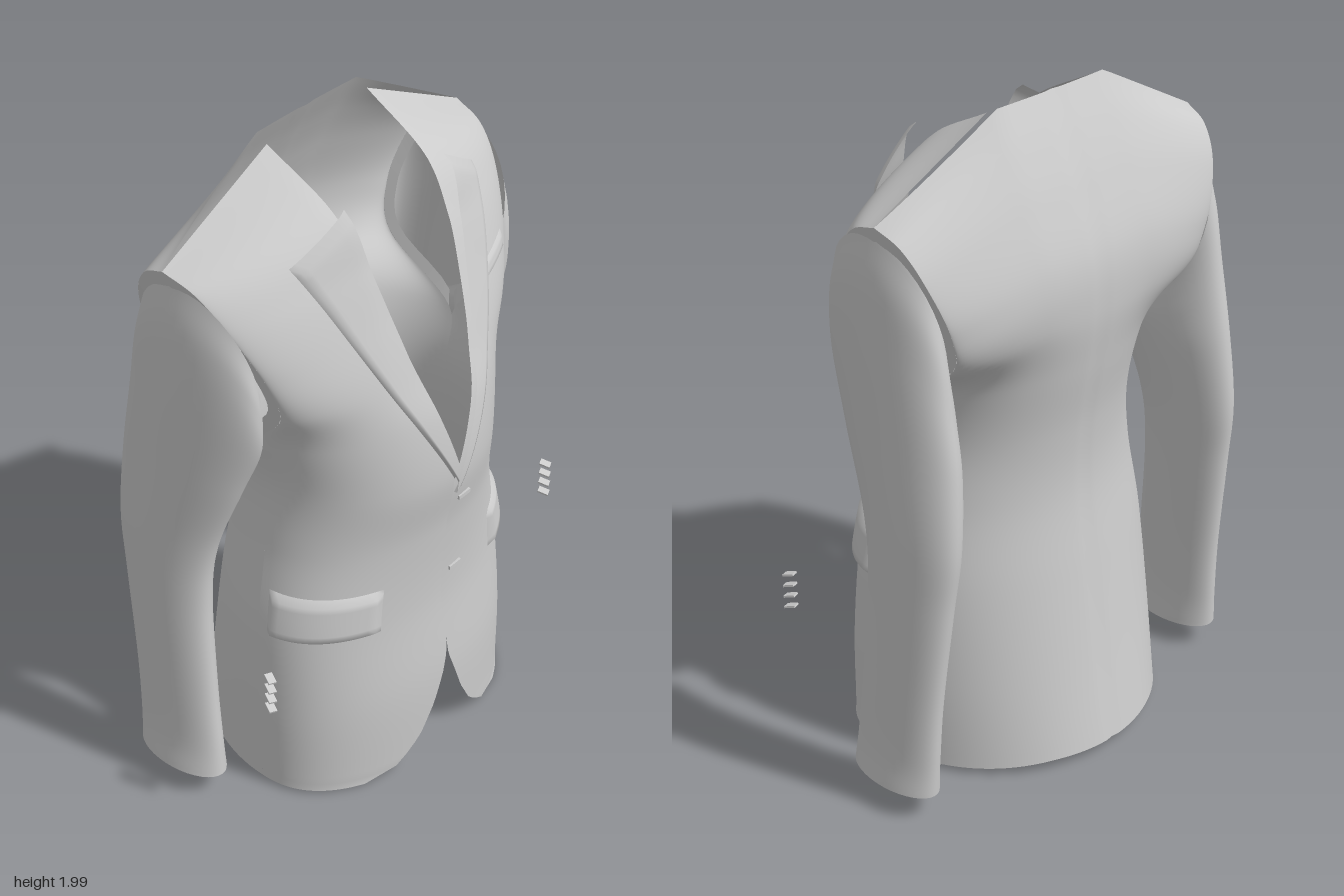
import * as THREE from 'three';

const material = new THREE.MeshStandardMaterial({ color: 0xcccccc, side: THREE.DoubleSide });
const { lerp, clamp } = THREE.MathUtils;
const HALF_PI = Math.PI / 2;

// Smooth interpolation through numbered cross-sections
function sections(rows) {
  const cubic = new THREE.CubicInterpolant(rows.map((_, i) => i), rows.flat(), rows[0].length);
  return r => Array.from(cubic.evaluate(r));
}

// Jacket sections from hem to shoulder:
// front y, front z, back y, back z, side y, side x, side z front, side z back, front curve, back curve
const TOP = 10, ARMPIT = 5;
const body = sections([
  [0.00, 0.385, 0.04, -0.415, 0.02, 0.480, 0.08, 0.08, 0.42, 0.50],
  [0.30, 0.390, 0.30, -0.365, 0.30, 0.478, 0.07, 0.07, 0.42, 0.50],
  [0.60, 0.370, 0.60, -0.315, 0.60, 0.458, 0.06, 0.06, 0.42, 0.50],
  [0.85, 0.380, 0.85, -0.280, 0.85, 0.410, 0.05, 0.05, 0.45, 0.50],
  [1.05, 0.405, 1.05, -0.285, 1.05, 0.392, 0.05, 0.05, 0.47, 0.50],
  [1.25, 0.385, 1.25, -0.315, 1.22, 0.425, 0.05, 0.03, 0.50, 0.50],
  [1.40, 0.335, 1.42, -0.335, 1.36, 0.455, 0.16, -0.22, 0.60, 0.60],
  [1.56, 0.280, 1.58, -0.325, 1.50, 0.500, 0.15, -0.27, 0.70, 0.70],
  [1.72, 0.215, 1.75, -0.265, 1.65, 0.555, 0.08, -0.24, 0.80, 0.80],
  [1.86, 0.120, 1.88, -0.205, 1.745, 0.585, 0.00, -0.18, 0.85, 0.85],
  [1.98, -0.100, 2.00, -0.140, 1.785, 0.600, -0.10, -0.10, 0.90, 0.90],
]);

// Point on the body: section r, angle a from the centre line to the side, off = lift outward
function bodyPoint(r, a, isBack = false, off = 0) {
  const k = body(r);
  const [y, z, side, curve] = isBack ? [k[2], k[3] - off, k[7], k[9]] : [k[0], k[1] + off, k[6], k[8]];
  const x = (k[5] + off) * Math.sin(a);
  const slope = clamp((Math.abs(x) - 0.2) / (k[5] - 0.2), 0, 1);
  return [x, lerp(y, k[4], slope), side + (z - side) * Math.pow(Math.max(Math.cos(a), 0), 2 * curve)];
}

// Point on the front at a given x and y, found by halving
function frontAt(x, y, off) {
  let low = 0, high = TOP;
  const angle = r => Math.asin(clamp(x / body(r)[5], -1, 1));
  for (let i = 0; i < 22; i++) {
    const mid = (low + high) / 2;
    if (bodyPoint(mid, angle(mid))[1] < y) low = mid; else high = mid;
  }
  return bodyPoint(low, angle(low), false, off);
}

// Mesh over a grid of points given by point(u, v)
function sheet(name, nu, nv, point, closed = false) {
  const positions = [], index = [], wide = closed ? nu : nu + 1;
  for (let j = 0; j <= nv; j++)
    for (let i = 0; i < wide; i++) positions.push(...point(i / nu, j / nv));
  for (let j = 0; j < nv; j++)
    for (let i = 0; i < nu; i++) {
      const a = j * wide + i, b = j * wide + (i + 1) % wide;
      index.push(a, b, b + wide, a, b + wide, a + wide);
    }
  const geometry = new THREE.BufferGeometry();
  geometry.setAttribute('position', new THREE.Float32BufferAttribute(positions, 3));
  geometry.setIndex(index);
  geometry.computeVertexNormals();
  const mesh = new THREE.Mesh(geometry, material);
  mesh.name = name;
  return mesh;
}

// Front opening: rounded cutaway, straight edge, then the V up to the neck
const OPENING = [[0, 0.3], [0.012, 0.24], [0.03, 0.19], [0.1, 0.11], [0.2, 0.055], [0.3, 0.018], [0.37, 0],
  [1.04, 0], [1.25, 0.065], [1.45, 0.12], [1.7, 0.17], [1.85, 0.19], [1.98, 0.2]];
function openingX(y) {
  const i = clamp(OPENING.findIndex(p => p[0] > y), 1, OPENING.length - 1);
  const [p, q] = y >= 1.98 ? OPENING.slice(-2) : [OPENING[i - 1], OPENING[i]];
  return lerp(p[1], q[1], clamp((y - p[0]) / (q[0] - p[0]), 0, 1));
}

// Raised patch whose border drops back to the cloth
const border = (u, v) => u === 0 || u === 1 || v === 0 || v === 1;

// Everything on one side of the front, modelled on +x; the left one laps over the right
function frontHalf(isLeft) {
  const group = new THREE.Group();
  group.name = isLeft ? 'leftFront' : 'rightFront';
  const lift = isLeft ? 0.012 : 0;
  const lap = y => isLeft ? -0.03 * clamp((y - 0.3) / 0.3, 0, 1) * clamp((1.3 - y) / 0.25, 0, 1) : 0;

  group.add(sheet('frontPanel', 28, 110, (u, v) => {
    const r = v * TOP, k = body(r);
    const start = Math.asin((openingX(k[0]) + lap(k[0])) / k[5]);
    const fade = lift * (1 - u) * clamp((9 - r) / 3, 0, 1);
    return bodyPoint(r, lerp(start, HALF_PI, u), false, fade);
  }));

  // Folded lapel, its tip standing away from the neck
  group.add(sheet('lapel', 10, 40, (u, v) => {
    const yIn = lerp(1.03, 1.88, v), yOut = lerp(1.0, 1.77, v);
    const xIn = openingX(yIn) + lap(yIn);
    const xOut = lerp(lap(1), 0.365, v) + 0.02 * Math.sin(Math.PI * v);
    const x = lerp(xIn, xOut, u), y = lerp(yIn, yOut, u);
    const p = frontAt(x, y, lift + (u === 1 || v === 1 ? 0.004 : 0.016));
    p[2] += 0.07 * Math.pow(v, 7) * (1 - u);
    return p;
  }));

  // Hip pocket flap wrapping toward the side
  group.add(sheet('pocketFlap', 16, 8, (u, v) => {
    const p = bodyPoint(lerp(1.93, 2.48, v), lerp(0.55, 1.5, u), false, border(u, v) ? 0.002 : 0.026 - 0.008 * v);
    return p;
  }));
  if (isLeft) {
    group.add(sheet('breastPocket', 10, 5, (u, v) =>
      frontAt(lerp(0.25, 0.43, u), lerp(1.49, 1.54, v) + 0.01 * u, border(u, v) ? 0.002 : 0.012)));
  } else group.scale.x = -1;
  return group;
}

// Sleeve rings from the armhole to the cuff: inner x, inner y, outer x, outer y, front z, back z
const sleeveRings = sections([
  [0.450, 1.25, 0.585, 1.745, 0.14, -0.26],
  [0.442, 1.21, 0.610, 1.62, 0.15, -0.28],
  [0.440, 1.16, 0.622, 1.44, 0.14, -0.30],
  [0.452, 1.07, 0.632, 1.18, 0.08, -0.33],
  [0.480, 0.88, 0.642, 0.92, 0.00, -0.345],
  [0.497, 0.70, 0.648, 0.70, -0.02, -0.325],
  [0.517, 0.40, 0.656, 0.40, 0.00, -0.295],
  [0.525, 0.20, 0.664, 0.20, 0.02, -0.285],
  [0.520, 0.08, 0.680, 0.09, 0.03, -0.28],
]);

function sleeve(isLeft) {
  const group = new THREE.Group();
  group.name = isLeft ? 'leftSleeve' : 'rightSleeve';
  group.add(sheet('sleeveTube', 36, 64, (u, v) => {
    const [xi, yi, xo, yo, zf, zb] = sleeveRings(v * 8);
    const c = (1 - Math.cos(u * 2 * Math.PI)) / 2, s = (1 + Math.sin(u * 2 * Math.PI)) / 2;
    return [lerp(xi, xo, c), lerp(yi, yo, c), lerp(zb, zf, s)];
  }, true));

  // Inner band turning in from the edge of the armhole
  group.add(sheet('armholeBand', 48, 2, (u, v) => {
    const r = ARMPIT + (TOP - ARMPIT) * (1 - Math.abs(2 * u - 1));
    const edge = new THREE.Vector3(...bodyPoint(r, HALF_PI, u > 0.5));
    return edge.lerp(new THREE.Vector3(0.52, 1.5, -0.05), v * 0.16).toArray();
  }));

  // Row of four small stitched cuff marks
  for (let i = 0; i < 4; i++) {
    const mark = new THREE.Mesh(new THREE.BoxGeometry(0.024, 0.006, 0.034), material);
    mark.name = 'cuffButtonhole';
    mark.position.set(isLeft ? 0.652 : 0.618, 0.505 + i * 0.036, 0.25);
    mark.rotation.set(0.3, 0.4, 0);
    group.add(mark);
  }
  if (!isLeft) group.scale.x = -1;
  return group;
}

export function createModel() {
  const model = new THREE.Group();
  model.name = 'jacket';

  // Back, with a faint centre seam
  model.add(sheet('backPanel', 56, 80, (u, v) => {
    const a = lerp(HALF_PI, -HALF_PI, u);
    return bodyPoint(v * TOP, a, true, Math.abs(a) < 0.01 ? -0.004 : 0);
  }));

  for (const isLeft of [true, false]) model.add(frontHalf(isLeft), sleeve(isLeft));

  // Two front buttonholes
  for (const y of [0.955, 0.685]) {
    const hole = new THREE.Mesh(new THREE.BoxGeometry(0.05, 0.012, 0.008), material);
    hole.name = 'frontButtonhole';
    hole.position.set(...frontAt(0.025, y, 0.014));
    model.add(hole);
  }
  return model;
}
